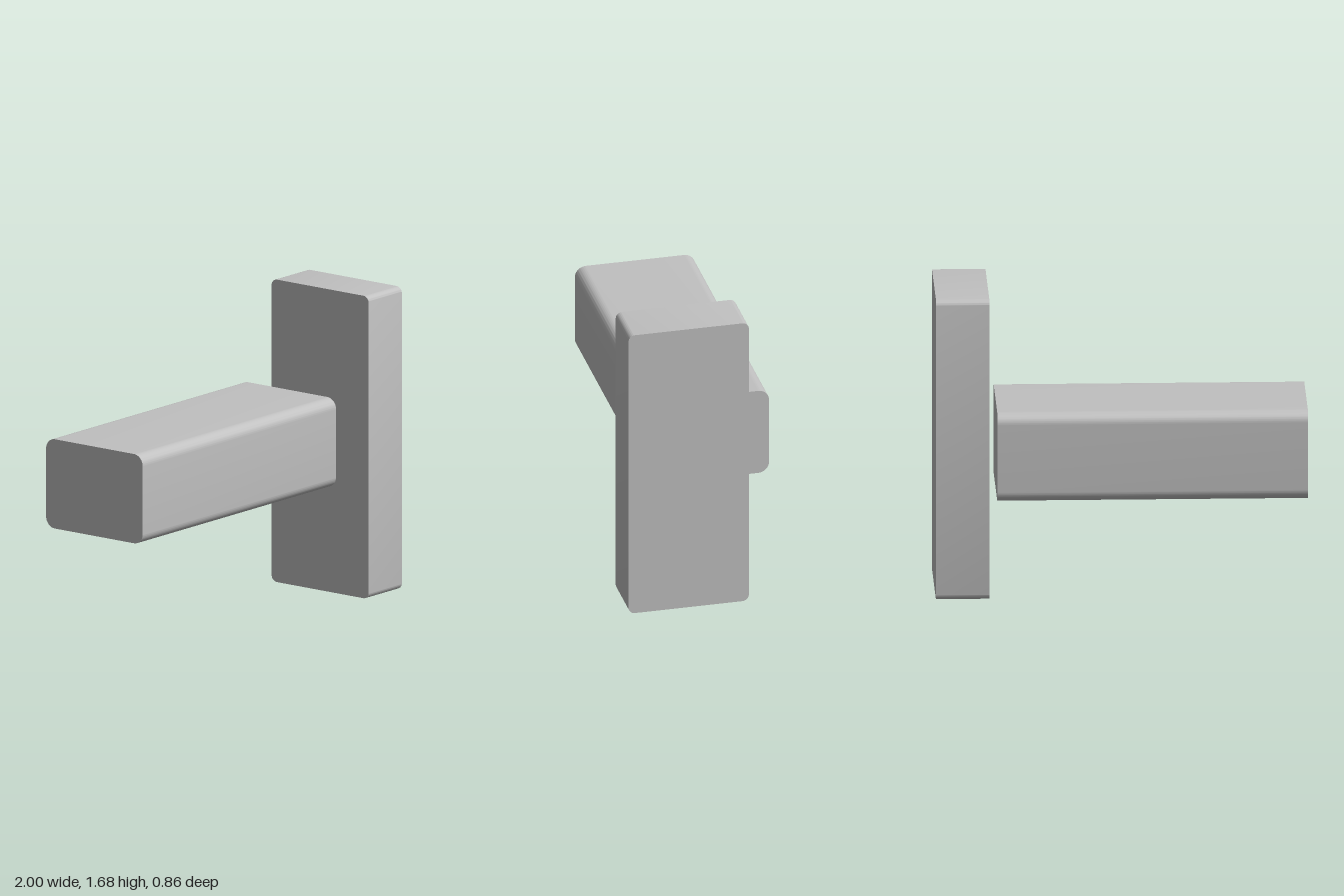
import * as THREE from 'three';
import { toCreasedNormals } from 'three/addons/utils/BufferGeometryUtils.js';

const grey = new THREE.MeshStandardMaterial({ color: 0xc0c0c0 });
grey.name = 'plain grey';

// Rounded rectangle in the zy plane, extruded along x with sharp end edges
function roundedBar(name, [x0, x1], [y0, y1], [z0, z1], r) {
  const w = (z1 - z0) / 2, h = (y1 - y0) / 2;
  const shape = new THREE.Shape();
  shape.absarc(w - r, h - r, r, 0, Math.PI / 2);
  shape.absarc(-w + r, h - r, r, Math.PI / 2, Math.PI);
  shape.absarc(-w + r, -h + r, r, Math.PI, Math.PI * 1.5);
  shape.absarc(w - r, -h + r, r, Math.PI * 1.5, Math.PI * 2);
  shape.closePath();
  const geometry = new THREE.ExtrudeGeometry(shape, {
    depth: x1 - x0, bevelEnabled: false, curveSegments: 10,
  });
  geometry.rotateY(Math.PI / 2);
  geometry.translate(x0, (y0 + y1) / 2, (z0 + z1) / 2);
  const mesh = new THREE.Mesh(toCreasedNormals(geometry, Math.PI / 6), grey);
  mesh.name = name;
  return mesh;
}

export function createModel() {
  const model = new THREE.Group();
  model.name = 'barAndPlate';
  // Long horizontal bar, set back
  model.add(roundedBar('horizontalBar', [-1, 0.675], [0.595, 1.09], [-0.43, 0.235], 0.06));
  // Upright plate, standing just clear of the bar's end
  model.add(roundedBar('uprightPlate', [0.712, 1], [0, 1.677], [-0.238, 0.43], 0.036));
  return model;
}
